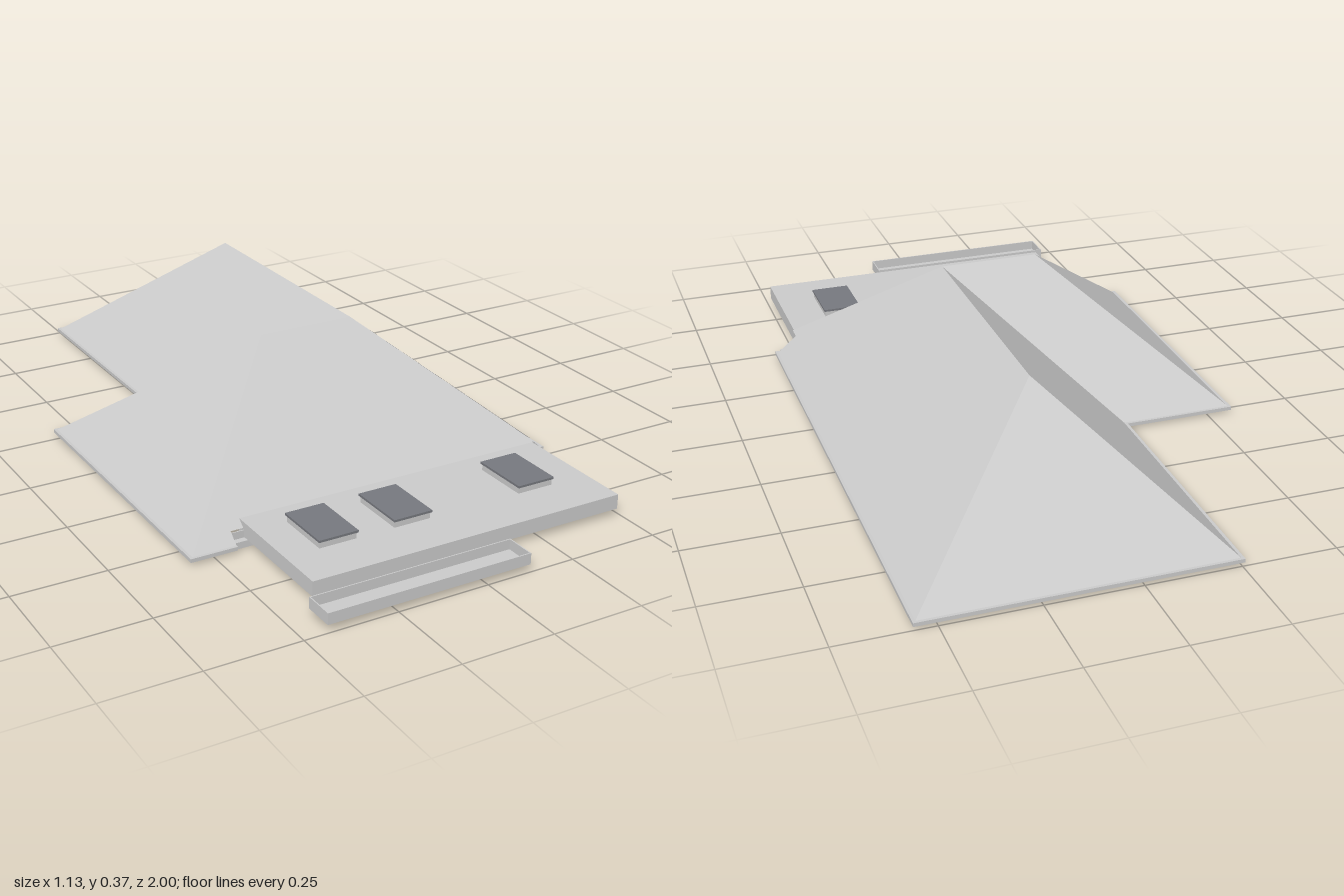
import * as THREE from 'three';

const grey = new THREE.MeshStandardMaterial({ color: 0xcccccc, flatShading: true, side: THREE.DoubleSide });
const dark = new THREE.MeshStandardMaterial({ color: 0x77797f });

// Plan outline given as [x, z] corners
const plan = (points) => new THREE.Shape(points.map(([x, z]) => new THREE.Vector2(x, -z)));
const rect = (x0, x1, z0, z1) => [[x0, z0], [x0, z1], [x1, z1], [x1, z0]];

function mesh(parent, name, geometry, material = grey) {
  const m = new THREE.Mesh(geometry, material);
  m.name = name;
  parent.add(m);
  return m;
}

function box(parent, name, x0, x1, y0, y1, z0, z1, material) {
  const m = mesh(parent, name, new THREE.BoxGeometry(x1 - x0, y1 - y0, z1 - z0), material);
  m.position.set((x0 + x1) / 2, (y0 + y1) / 2, (z0 + z1) / 2);
}

// Horizontal plate with optional holes
function plate(parent, name, points, y0, y1, holes = []) {
  const shape = plan(points);
  shape.holes = holes.map(plan);
  const g = new THREE.ExtrudeGeometry(shape, { depth: y1 - y0, bevelEnabled: false });
  mesh(parent, name, g.rotateX(-Math.PI / 2).translate(0, y0, 0));
}

// Sloping roof plane: a plan outline lifted by a height rule
function facet(parent, name, points, rise) {
  const g = new THREE.ShapeGeometry(plan(points)).rotateX(-Math.PI / 2);
  const p = g.attributes.position;
  for (let i = 0; i < p.count; i++) p.setY(i, 0.018 + 0.348 * rise(p.getX(i), p.getZ(i)));
  g.computeVertexNormals();
  mesh(parent, name, g);
}

// L-shaped house outline, moved inwards by d
const outline = (d) => [[-0.25 + d, -0.99 + d], [-0.25 + d, -0.27 + d], [-0.56 + d, -0.27 + d],
  [-0.56 + d, 0.57 - d], [-0.24, 0.57 - d], [-0.24, 0.545 - d], [0.49, 0.545 - d], [0.49, 0.505 - d],
  [0.55 - d, 0.505 - d], [0.55 - d, -0.99 + d]];

export function createModel() {
  const model = new THREE.Group();
  const add = (name) => {
    const g = new THREE.Group();
    g.name = name;
    model.add(g);
    return g;
  };

  // Hipped L-shaped roof
  const roof = add('hippedRoof');
  const ridgeBack = [0.135, -0.575], ridgeCorner = [0.135, 0.15], ridgeLeft = [-0.14, 0.15];
  const backL = [-0.25, -0.99], backR = [0.55, -0.99], valley = [-0.25, -0.27];
  const wingBack = [-0.56, -0.27], wingFront = [-0.56, 0.57], hipEnd = [0.495, 0.516];
  facet(roof, 'backSlope', [backL, ridgeBack, backR], (x, z) => (z + 0.99) / 0.415);
  facet(roof, 'mainLeftSlope', [backL, valley, ridgeCorner, ridgeBack], (x) => (x + 0.25) / 0.385);
  facet(roof, 'mainRightSlope', [backR, ridgeBack, ridgeCorner, hipEnd, [0.495, 0.475], [0.55, 0.475]],
    (x) => (0.55 - x) / 0.415);
  facet(roof, 'wingBackSlope', [wingBack, ridgeLeft, ridgeCorner, valley], (x, z) => (z + 0.27) / 0.42);
  facet(roof, 'wingEndSlope', [wingBack, wingFront, ridgeLeft], (x) => (x + 0.56) / 0.42);
  facet(roof, 'frontSlope', [ridgeLeft, wingFront, [-0.44, 0.57], [-0.44, 0.54], [-0.405, 0.54],
    [-0.405, 0.52], [0.49, 0.52], hipEnd, ridgeCorner], (x, z) => (0.57 - z) / 0.42);

  // Closed end of the right slope beside the flat roof
  const end = new THREE.Shape([[0.49, 0.018], [0.55, 0.018], [0.49, 0.068]]
    .map(([x, y]) => new THREE.Vector2(x, y)));
  mesh(roof, 'slopeEnd', new THREE.ShapeGeometry(end).translate(0, 0, 0.475));
  box(roof, 'slopeCheek', 0.48, 0.494, 0.018, 0.06, 0.475, 0.515);

  // Eave boards around the roof edge
  const eaves = add('eaves');
  const o = 0.008, i = 0.012;
  [
    [-0.25 - o, 0.55 + o, -0.99 - o, -0.99 + i],
    [0.55 - i, 0.55 + o, -0.99 + i, 0.485],
    [-0.25 - o, -0.25 + i, -0.99 + i, -0.27 + i],
    [-0.56 - o, -0.25 - o, -0.27 - o, -0.27 + i],
    [-0.56 - o, -0.56 + i, -0.27 + i, 0.57 - i],
    [-0.56 - o, -0.44, 0.57 - i, 0.57 + o],
  ].forEach(([x0, x1, z0, z1]) => box(eaves, 'eaveBoard', x0, x1, 0.008, 0.018, z0, z1));

  // Wall plate ring with a recessed ceiling, split between the rooms
  const ceiling = add('ceiling');
  plate(ceiling, 'wallPlate', outline(0.01), 0, 0.018, [outline(0.03)]);
  plate(ceiling, 'recessWall', outline(0.027), 0.018, 0.038, [outline(0.03)]);
  plate(ceiling, 'backCeiling', [[-0.22, -0.96], [-0.22, -0.24], [-0.53, -0.24], [-0.53, 0.036],
    [0.52, 0.036], [0.52, -0.96]], 0.036, 0.04);
  plate(ceiling, 'frontLeftCeiling', rect(-0.53, 0.036, 0.044, 0.515), 0.036, 0.04);
  plate(ceiling, 'frontRightCeiling', rect(0.044, 0.49, 0.044, 0.515), 0.036, 0.04);

  // Flat roof with three skylights over open shafts
  const flat = add('flatRoofExtension');
  const lights = [-0.26, -0.048, 0.325];
  const hole = (x) => rect(x - 0.042, x + 0.042, 0.605, 0.735);
  plate(flat, 'flatRoof', rect(-0.405, 0.49, 0.516, 0.875), 0.02, 0.06, lights.map(hole));
  for (const x of lights) {
    plate(flat, 'skylightCurb', rect(x - 0.052, x + 0.052, 0.592, 0.748), 0.06, 0.077, [hole(x)]);
    box(flat, 'skylightPane', x - 0.055, x + 0.055, 0.077, 0.083, 0.588, 0.752, dark);
  }

  // Detached thin-walled trough along the front
  const trough = add('frontTrough');
  const [x0, x1, z0, z1, t] = [-0.438, 0.124, 0.915, 0.998, 0.003];
  plate(trough, 'troughFloor', rect(x0, x1, z0, z1), 0.02, 0.023);
  plate(trough, 'troughRim', rect(x0, x1, z0, z1), 0.023, 0.05, [rect(x0 + t, x1 - t, z0 + t, z1 - t)]);

  return model;
}
